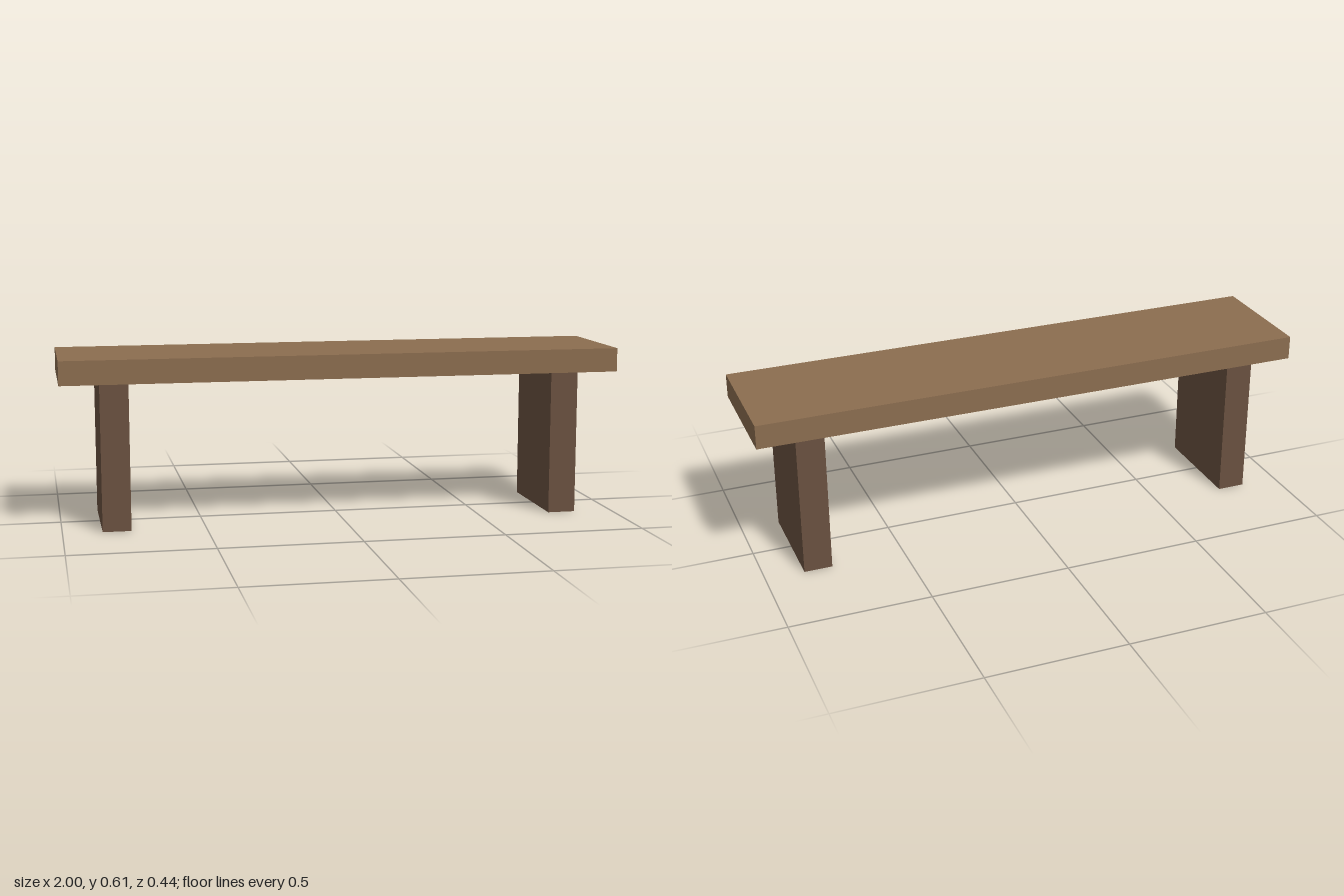
import * as THREE from 'three';

const SEAT_BOTTOM = 0.52;
const SEAT_TOP = 0.605;

export function createModel() {
  const bench = new THREE.Group();
  bench.name = 'bench';

  const seatWood = new THREE.MeshStandardMaterial({ color: 0x8b6d4f });
  seatWood.name = 'seat wood';
  const legWood = new THREE.MeshStandardMaterial({ color: 0x6a5140 });
  legWood.name = 'dark leg wood';

  // Box standing on a given height
  function addBox(name, width, height, depth, x, bottom, material) {
    const mesh = new THREE.Mesh(new THREE.BoxGeometry(width, height, depth), material);
    mesh.name = name;
    mesh.position.set(x, bottom + height / 2, 0);
    bench.add(mesh);
  }

  // Plank seat
  addBox('seat', 2, SEAT_TOP - SEAT_BOTTOM, 0.436, 0, SEAT_BOTTOM, seatWood);

  // Slab legs, set in from both ends
  for (const [name, side] of [['leftLeg', 1], ['rightLeg', -1]]) {
    addBox(name, 0.1, SEAT_BOTTOM, 0.374, side * 0.812, 0, legWood);
  }

  return bench;
}
